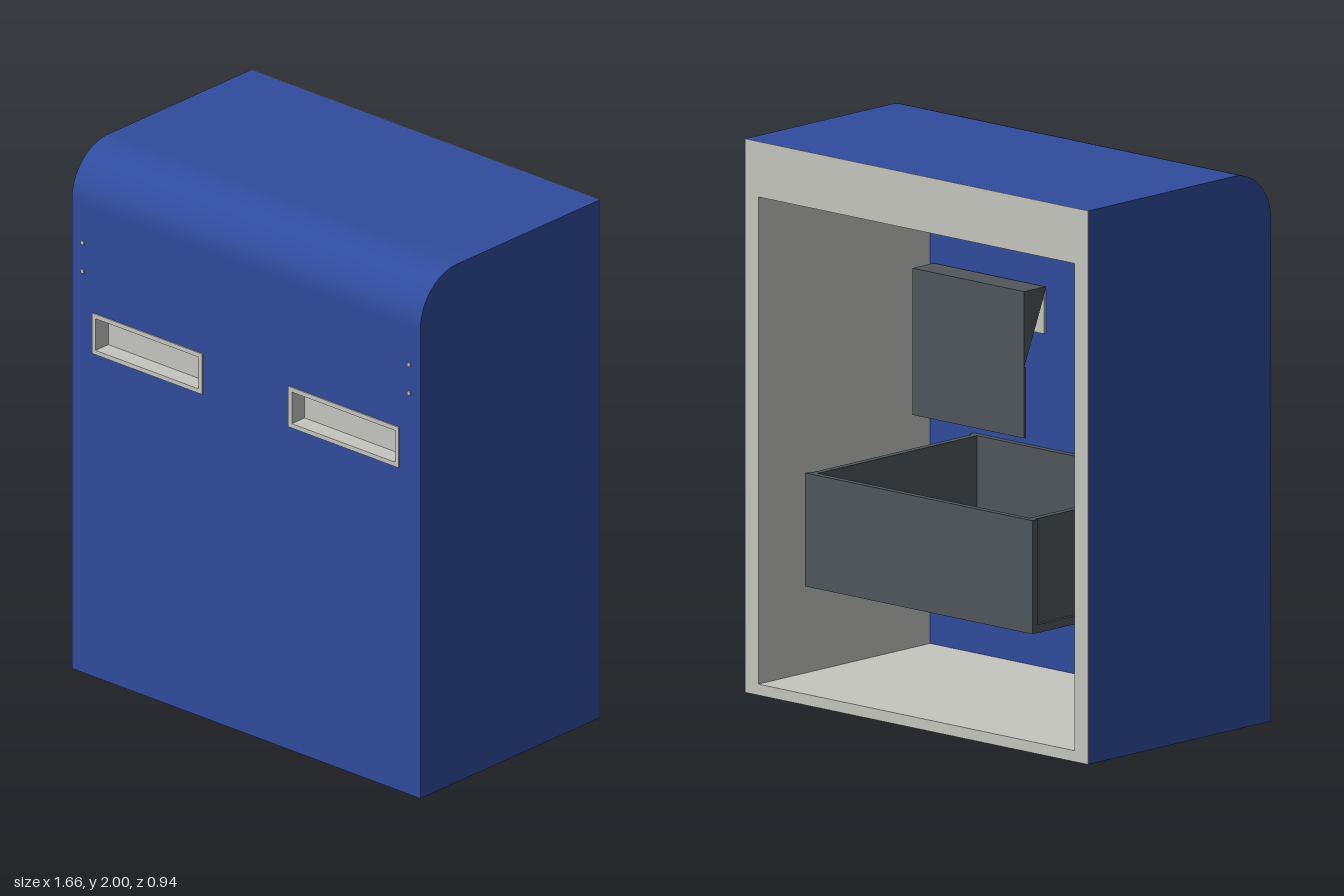
import * as THREE from 'three';
import { toCreasedNormals } from 'three/addons/utils/BufferGeometryUtils.js';

const HALF_W = 0.83, HEIGHT = 2, BACK = -0.472, FRONT = 0.468, RADIUS = 0.19;
const INNER_X = 0.765, INNER_TOP = 1.8, INNER_BOTTOM = 0.04, INNER_FRONT = 0.41, SKIN = 0.008;
const SLOT = { x0: 0.205, x1: 0.73, y0: 1.248, y1: 1.404 };

export function createModel() {
  const model = new THREE.Group();
  const paint = (name, color) => {
    const m = new THREE.MeshStandardMaterial({ color });
    m.name = name;
    return m;
  };
  const blue = paint('blueShell', 0x304c9e);
  const grey = paint('lightGrey', 0xc6c6c1);
  const dark = paint('darkGrey', 0x50565b);

  const add = (name, geometry, material, parent = model) => {
    const mesh = new THREE.Mesh(geometry, material);
    mesh.name = name;
    parent.add(mesh);
    return mesh;
  };
  // Box given by its limits on each axis
  const box = (name, [x0, x1], [y0, y1], [z0, z1], material, parent) => {
    const g = new THREE.BoxGeometry(x1 - x0, y1 - y0, z1 - z0);
    g.translate((x0 + x1) / 2, (y0 + y1) / 2, (z0 + z1) / 2);
    return add(name, g, material, parent);
  };
  // Side profile drawn in (z, y), swept from x0 to x1
  const sweepX = (shape, x0, x1) => {
    const g = new THREE.ExtrudeGeometry(shape, { depth: x1 - x0, bevelEnabled: false, curveSegments: 20 });
    g.rotateY(-Math.PI / 2);
    g.translate(x1, 0, 0);
    return toCreasedNormals(g, 0.5);
  };
  // Front outline drawn in (x, y), swept from z0 to z1
  const sweepZ = (shape, z0, z1) => {
    const g = new THREE.ExtrudeGeometry(shape, { depth: z1 - z0, bevelEnabled: false });
    g.translate(0, 0, z0);
    return g;
  };
  const rect = (Type, x0, y0, x1, y1) => new Type(
    [[x0, y0], [x1, y0], [x1, y1], [x0, y1]].map(([x, y]) => new THREE.Vector2(x, y)));
  const centerZ = FRONT - RADIUS, centerY = HEIGHT - RADIUS, shellBack = BACK + 0.003;

  // Side skins with the rounded front top corner
  const profile = new THREE.Shape();
  profile.moveTo(shellBack, 0);
  profile.lineTo(FRONT, 0);
  profile.lineTo(FRONT, centerY);
  profile.absarc(centerZ, centerY, RADIUS, 0, Math.PI / 2, false);
  profile.lineTo(shellBack, HEIGHT);
  add('leftSkin', sweepX(profile, HALF_W - SKIN, HALF_W), blue);
  add('rightSkin', sweepX(profile, -HALF_W, -HALF_W + SKIN), blue);

  // Top skin, curving down to the front
  const roof = new THREE.Shape();
  roof.moveTo(FRONT, centerY);
  roof.absarc(centerZ, centerY, RADIUS, 0, Math.PI / 2, false);
  roof.lineTo(shellBack, HEIGHT);
  roof.lineTo(shellBack, HEIGHT - SKIN);
  roof.lineTo(centerZ, HEIGHT - SKIN);
  roof.absarc(centerZ, centerY, RADIUS - SKIN, Math.PI / 2, 0, true);
  add('topSkin', sweepX(roof, -HALF_W + SKIN, HALF_W - SKIN), blue);
  box('bottomSkin', [-HALF_W + SKIN, HALF_W - SKIN], [0, SKIN], [shellBack, INNER_FRONT], blue);

  // Front wall with two slot openings
  const wall = rect(THREE.Shape, -HALF_W + SKIN, 0, HALF_W - SKIN, centerY);
  wall.holes.push(rect(THREE.Path, SLOT.x0, SLOT.y0, SLOT.x1, SLOT.y1));
  wall.holes.push(rect(THREE.Path, -SLOT.x1, SLOT.y0, -SLOT.x0, SLOT.y1));
  add('frontWall', sweepZ(wall, INNER_FRONT, FRONT), blue);

  // Grey lining and the rim around the open back
  const linerZ = [shellBack, INNER_FRONT];
  for (const s of [-1, 1]) {
    const xs = [s * INNER_X, s * (HALF_W - SKIN)].sort((a, b) => a - b);
    box('sideLining', xs, [SKIN, INNER_TOP], linerZ, grey);
  }
  box('floorLining', [-INNER_X, INNER_X], [SKIN, INNER_BOTTOM], linerZ, grey);
  box('ceilingLining', [-HALF_W + SKIN, HALF_W - SKIN], [INNER_TOP, INNER_TOP + 0.02], linerZ, grey);
  const rim = rect(THREE.Shape, -HALF_W, 0, HALF_W, HEIGHT);
  rim.holes.push(rect(THREE.Path, -INNER_X, INNER_BOTTOM, INNER_X, INNER_TOP));
  add('backRim', sweepZ(rim, BACK, shellBack), grey);

  // Slots with their frames, pockets, chutes and small studs
  for (const side of [-1, 1]) {
    const unit = new THREE.Group();
    unit.name = side > 0 ? 'leftSlot' : 'rightSlot';
    unit.position.x = side * (SLOT.x0 + SLOT.x1) / 2;
    model.add(unit);
    const w = (SLOT.x1 - SLOT.x0) / 2, lip = 0.017;

    const frame = rect(THREE.Shape, -w, SLOT.y0, w, SLOT.y1);
    frame.holes.push(rect(THREE.Path, -w + lip, SLOT.y0 + lip, w - lip, SLOT.y1 - lip));
    add('slotFrame', sweepZ(frame, 0.405, 0.473), grey, unit);
    box('slotBack', [-w, w], [SLOT.y0, SLOT.y1], [0.4, 0.406], grey, unit);

    const hood = new THREE.Shape([[0.29, 1.145], [0.399, 1.405], [0.399, 1.42], [0.29, 1.42]]
      .map(([z, y]) => new THREE.Vector2(z, y)));
    add('chuteHood', sweepX(hood, -w - 0.008, w + 0.008), dark, unit);
    box('chuteFlap', [-w - 0.008, w + 0.008], [0.89, 1.145], [0.29, 0.3], dark, unit);

    for (const y of [1.55, 1.66]) {
      const x = side * 0.777;
      box('stud', [x - 0.007, x + 0.007], [y - 0.007, y + 0.007], [FRONT - 0.002, 0.473], grey);
    }
  }

  // Open collecting bin
  const bin = new THREE.Group();
  bin.name = 'bin';
  model.add(bin);
  const bx = 0.55, b0 = 0.425, b1 = 0.835, t = 0.025, zb = -0.46, zf = 0.408;
  box('binBase', [-bx, bx], [b0, b0 + 0.03], [zb, zf], dark, bin);
  box('binBack', [-bx, bx], [b0 + 0.03, b1], [zb, zb + t], dark, bin);
  box('binFront', [-bx, bx], [b0 + 0.03, b1], [zf - t, zf], dark, bin);
  for (const s of [-1, 1]) {
    const xs = [s * (bx - 0.012), s * (bx - 0.012 - t)].sort((a, b) => a - b);
    box('binSide', xs, [b0 + 0.03, b1], [zb + t, zf - t], dark, bin);
  }
  return model;
}
